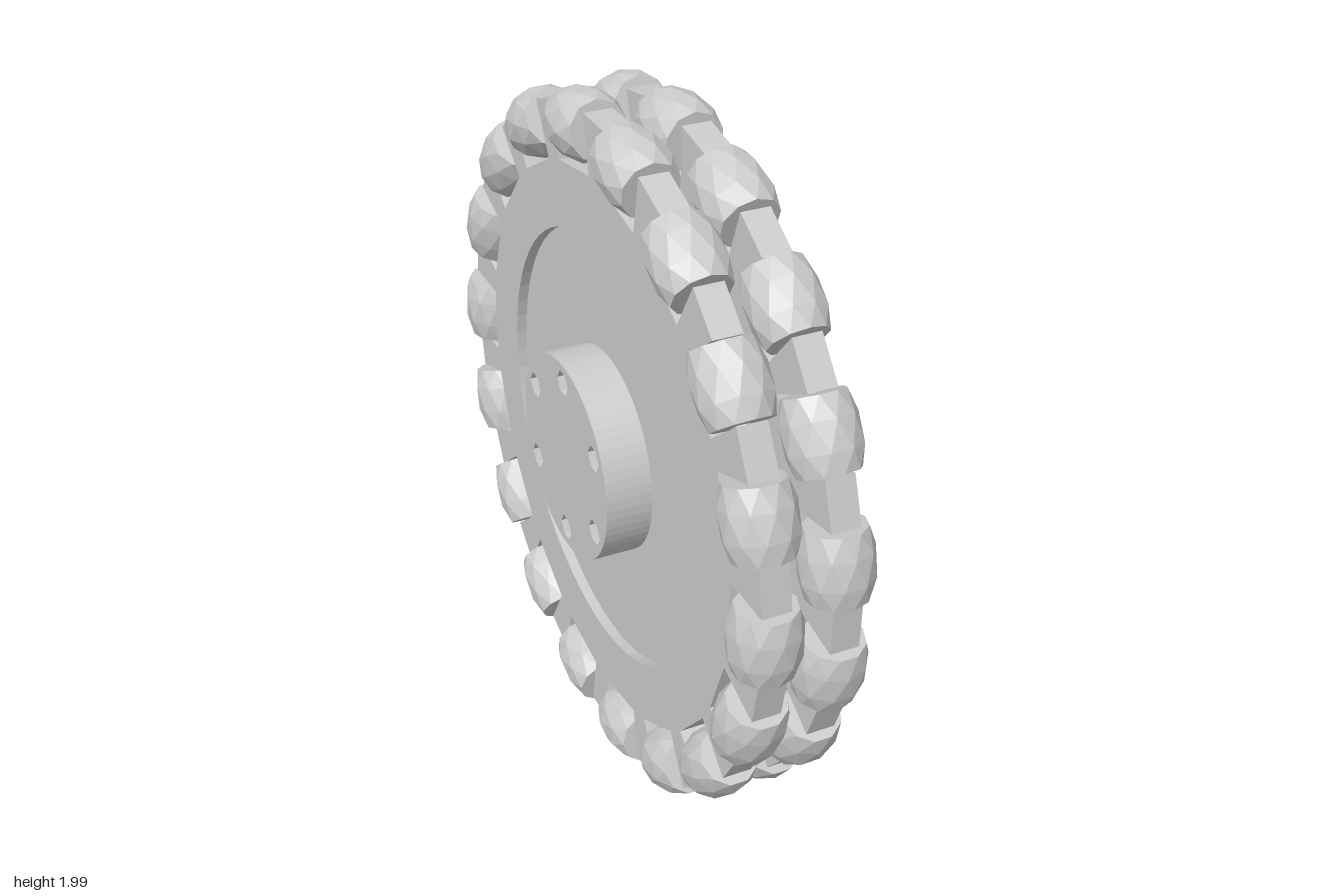
import * as THREE from 'three';

const COUNT = 18, STEP = (Math.PI * 2) / COUNT;
const grey = new THREE.MeshStandardMaterial({ color: 0xcccccc, flatShading: true });

function add(parent, name, geometry) {
  const mesh = new THREE.Mesh(geometry, grey);
  mesh.name = name;
  parent.add(mesh);
  return mesh;
}

// Disc outline with a roller slot at every step
function slottedDisc() {
  const pts = [];
  for (let i = 0; i < COUNT; i++) {
    const a = Math.PI / 2 + i * STEP, c = Math.cos(a), s = Math.sin(a);
    for (const [r, t] of [[0.95, -0.1], [0.79, -0.1], [0.79, 0.1], [0.95, 0.1]]) {
      pts.push(new THREE.Vector2(r * c - t * s, r * s + t * c));
    }
  }
  return new THREE.Shape(pts);
}

// Extrudes a shape along x, from x0 to x1
function extrudeX(shape, x0, x1) {
  const g = new THREE.ExtrudeGeometry(shape, { depth: x1 - x0, bevelEnabled: false, curveSegments: 32 });
  return g.rotateY(Math.PI / 2).translate(x0, 0, 0);
}

function cylinderX(rLeft, rRight, x0, x1, sides) {
  return new THREE.CylinderGeometry(rRight, rLeft, x1 - x0, sides)
    .rotateZ(-Math.PI / 2).translate((x0 + x1) / 2, 0, 0);
}

// Faceted barrel lying along the rim; its rings are twisted into triangles
function rollerGeometry() {
  const profile = [[0, -0.095], [0.08, -0.095], [0.095, -0.035], [0.095, 0.04], [0.08, 0.095], [0, 0.095]]
    .map(([r, y]) => new THREE.Vector2(r, y));
  const g = new THREE.LatheGeometry(profile, 10);
  const p = g.attributes.position, v = new THREE.Vector3(), up = new THREE.Vector3(0, 1, 0);
  for (let i = 0; i < p.count; i++) {
    v.fromBufferAttribute(p, i).applyAxisAngle(up, (i % profile.length) * Math.PI / 10);
    p.setXYZ(i, v.x, v.y, v.z);
  }
  return g.rotateX(Math.PI / 2).translate(0, 0.898, 0);
}

// One wheel row: slotted plate, raised outer ring, rollers and their pins
function wheelRow(name, x, side, offset, recess) {
  const row = new THREE.Group();
  row.name = name;
  row.position.x = x;
  row.rotation.x = offset;
  const ringShape = slottedDisc();
  ringShape.holes.push(recess);
  const span = (a, b) => [Math.min(a * side, b * side), Math.max(a * side, b * side)];
  add(row, 'plate', extrudeX(slottedDisc(), ...span(-0.04, 0.01)));
  add(row, 'raisedRing', extrudeX(ringShape, ...span(0.01, 0.04)));
  const roller = rollerGeometry();
  const pin = new THREE.CylinderGeometry(0.022, 0.022, 0.25, 6).rotateX(Math.PI / 2).translate(0, 0.89, 0);
  for (let i = 0; i < COUNT; i++) {
    add(row, 'roller', roller).rotation.x = i * STEP;
    add(row, 'rollerPin', pin).rotation.x = i * STEP;
  }
  return row;
}

export function createModel() {
  const model = new THREE.Group();
  model.name = 'omniWheel';
  const wheel = new THREE.Group();
  wheel.name = 'wheel';
  wheel.position.y = 1;
  model.add(wheel);

  // Two staggered rows; the outer recess has one flat corner
  const deg = Math.PI / 180;
  const flatRecess = new THREE.Path().absarc(0, 0, 0.615, 73 * deg, 386 * deg, false);
  const roundRecess = new THREE.Path().absarc(0, 0, 0.615, 0, Math.PI * 2, false);
  wheel.add(wheelRow('leftRow', 0.115, 1, 0, flatRecess));
  wheel.add(wheelRow('rightRow', -0.075, -1, STEP / 2, roundRecess));

  // Spacer between the rows and boss on the left face
  add(wheel, 'spacer', cylinderX(0.29, 0.29, -0.04, 0.08, 32));
  add(wheel, 'boss', cylinderX(0.137, 0.137, 0.12, 0.16, 24));

  // Hub with six bolt holes
  const hubShape = new THREE.Shape().absarc(0, 0, 0.29, 0, Math.PI * 2, false);
  const bolt = cylinderX(0.042, 0.018, 0.12, 0.195, 5);
  for (let i = 0; i < 6; i++) {
    const a = Math.PI / 2 + i * Math.PI / 3, x = 0.235 * Math.cos(a), y = 0.235 * Math.sin(a);
    hubShape.holes.push(new THREE.Path(Array.from({ length: 6 }, (_, k) =>
      new THREE.Vector2(x + 0.036 * Math.cos(k * Math.PI / 3), y + 0.036 * Math.sin(k * Math.PI / 3)))));
    add(wheel, 'bolt', bolt).position.set(0, y, -x);
  }
  add(wheel, 'hub', extrudeX(hubShape, -0.215, -0.08));
  return model;
}
